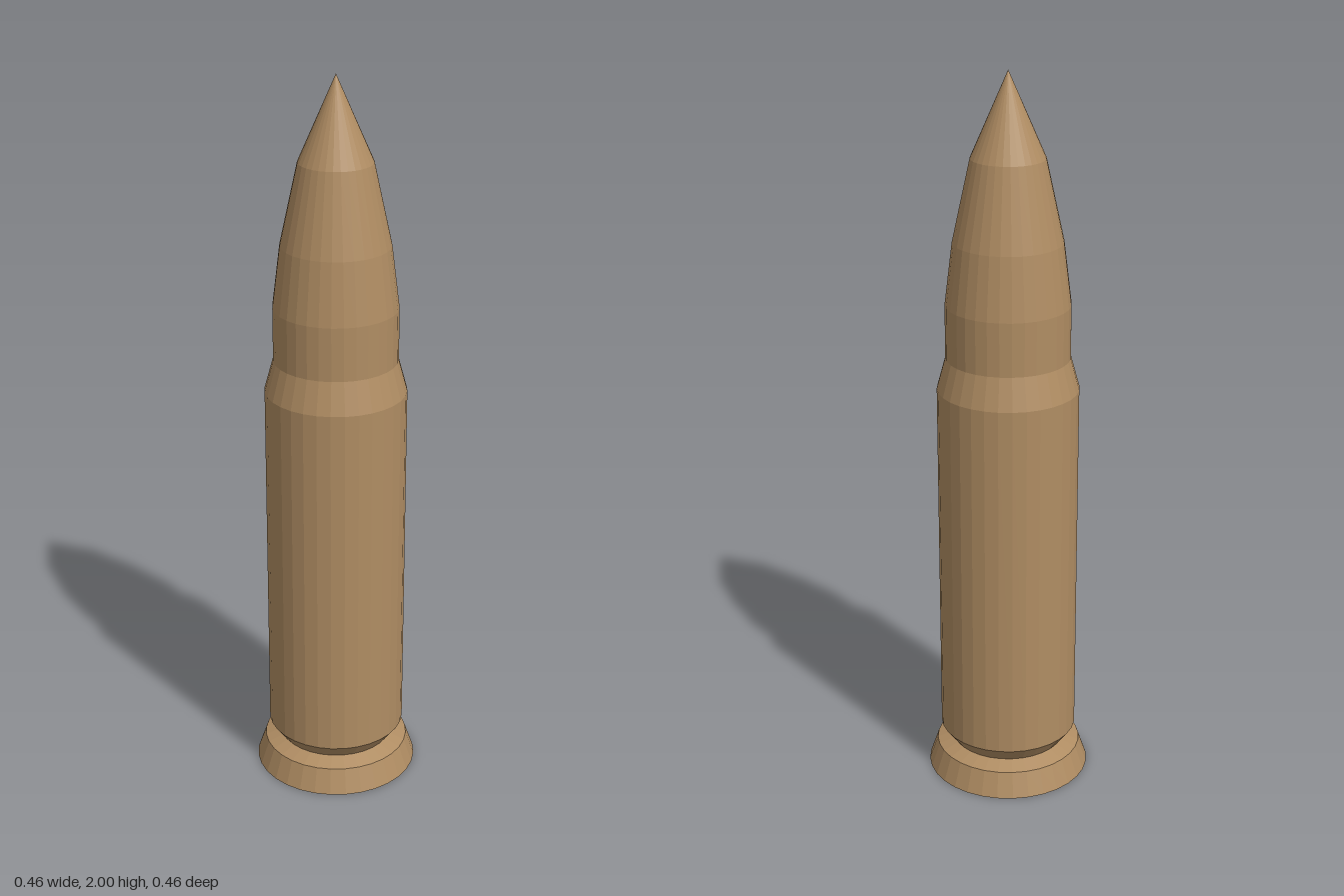
import * as THREE from 'three';

const SIDES = 32;

export function createModel() {
  const group = new THREE.Group();
  const material = new THREE.MeshStandardMaterial({ color: 0xb08d63, flatShading: true });

  // Turned part from [radius, height] pairs, listed bottom to top
  function turned(name, profile) {
    const points = profile.map(([r, y]) => new THREE.Vector2(r, y));
    const mesh = new THREE.Mesh(new THREE.LatheGeometry(points, SIDES), material);
    mesh.name = name;
    group.add(mesh);
  }

  // Flared base with closed underside, sloping in to the groove
  turned('rim', [[0, 0], [0.228, 0], [0.204, 0.07], [0.16, 0.087]]);

  // Straight body from the groove up through the shoulder and neck
  turned('case', [[0.16, 0.087], [0.192, 0.13], [0.192, 1.15], [0.168, 1.238], [0.168, 1.385]]);

  // Tapering pointed tip
  turned('tip', [[0.168, 1.385], [0.147, 1.555], [0.099, 1.775], [0, 2]]);

  return group;
}
